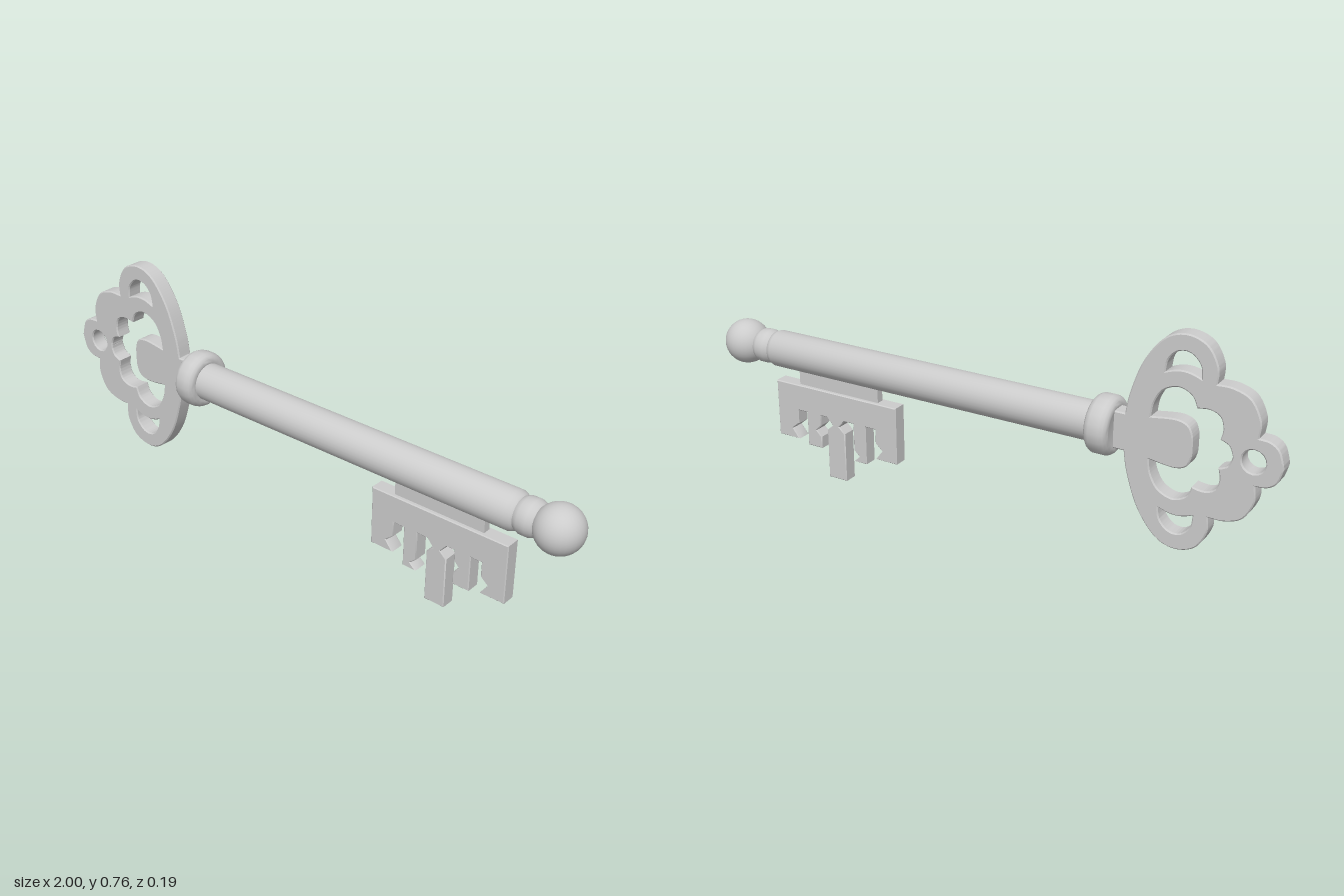
import * as THREE from 'three';
import { toCreasedNormals } from 'three/addons/utils/BufferGeometryUtils.js';

const AXIS = 0.4215; // height of the shaft's centre line

// Adds smooth runs that meet in cusps: below the axis first, then mirrored back above it,
// so that the outline runs counter-clockwise.
function mirroredOutline(target, runs) {
  const below = runs.map(run => run.map(([x, y]) => new THREE.Vector2(x, -y)));
  const above = runs.map(run => run.map(([x, y]) => new THREE.Vector2(x, y)).reverse()).reverse();
  target.moveTo(below[0][0].x, below[0][0].y);
  for (const run of [...below, ...above]) {
    if (run.length === 2) target.lineTo(run[1].x, run[1].y);
    else target.splineThru(run.slice(1));
  }
  return target;
}

// Extrudes a shape to a plate centred on z = 0 with slightly eased edges.
function plate(shape, halfDepth, bevel) {
  const geometry = new THREE.ExtrudeGeometry(shape, {
    depth: 2 * (halfDepth - bevel), curveSegments: 8,
    bevelSize: bevel, bevelThickness: bevel, bevelOffset: -bevel, bevelSegments: 1,
  });
  geometry.translate(0, 0, bevel - halfDepth);
  return toCreasedNormals(geometry, 0.6);
}

// Turns a profile of [x, radius] points about the shaft axis.
function turned(profile, segments = 32) {
  const geometry = new THREE.LatheGeometry(profile.map(([x, r]) => new THREE.Vector2(r, -x)).reverse(), segments);
  geometry.rotateZ(Math.PI / 2);
  return toCreasedNormals(geometry, 0.6);
}

function bowShape() {
  const shape = mirroredOutline(new THREE.Shape(), [
    [[-1, 0], [-0.985, 0.048], [-0.957, 0.07], [-0.922, 0.074]],
    [[-0.922, 0.074], [-0.924, 0.125], [-0.893, 0.183], [-0.84, 0.206], [-0.79, 0.207]],
    [[-0.79, 0.207], [-0.79, 0.258], [-0.755, 0.316], [-0.69, 0.337], [-0.625, 0.312], [-0.565, 0.232], [-0.528, 0.13], [-0.515, 0.06]],
    [[-0.515, 0.06], [-0.45, 0.06]],
    [[-0.45, 0.06], [-0.45, 0]],
  ]);
  // Scalloped opening around the central tongue
  shape.holes.push(mirroredOutline(new THREE.Path(), [
    [[-0.85, 0], [-0.838, 0.03], [-0.81, 0.044]],
    [[-0.81, 0.044], [-0.816, 0.078], [-0.805, 0.112], [-0.773, 0.126], [-0.735, 0.122]],
    [[-0.735, 0.122], [-0.718, 0.157], [-0.676, 0.174], [-0.63, 0.155], [-0.604, 0.112], [-0.596, 0.068]],
    [[-0.596, 0.068], [-0.671, 0.077], [-0.711, 0.066], [-0.727, 0.036], [-0.729, 0]],
  ]));
  // Ring hole
  shape.holes.push(new THREE.Path().absarc(-0.912, 0, 0.036, 0, Math.PI * 2));
  // Crescents
  for (const s of [1, -1]) {
    const crescent = new THREE.Path();
    crescent.moveTo(-0.743, s * 0.213);
    crescent.splineThru([[-0.738, 0.25], [-0.715, 0.277], [-0.69, 0.285], [-0.663, 0.277], [-0.64, 0.25], [-0.633, 0.213]]
      .map(([x, y]) => new THREE.Vector2(x, s * y)));
    crescent.quadraticCurveTo(-0.688, s * 0.242, -0.743, s * 0.213);
    shape.holes.push(crescent);
  }
  return shape;
}

function bitShape() {
  return new THREE.Shape([
    [0.297, 0.313], [0.297, 0.113],
    [0.381, 0.113], [0.355, 0.147], [0.381, 0.17], [0.381, 0.22], [0.42, 0.22], // left ward
    [0.42, 0.084], [0.47, 0.084], [0.449, 0.105], [0.47, 0.124], [0.47, 0.22], [0.506, 0.22], // second ward
    [0.528, 0.195], [0.506, 0.174], [0.506, 0], [0.578, 0], [0.578, 0.174], [0.556, 0.195], [0.578, 0.22], // middle ward
    [0.604, 0.22], [0.604, 0.184], [0.624, 0.163], [0.604, 0.142], [0.604, 0.1], [0.662, 0.1], [0.662, 0.22], // fourth ward
    [0.7, 0.22], [0.7, 0.17], [0.726, 0.148], [0.7, 0.113], [0.785, 0.113], // right ward
    [0.785, 0.313],
  ].map(([x, y]) => new THREE.Vector2(x, y)));
}

export function createModel() {
  const key = new THREE.Group();
  key.name = 'key';
  const material = new THREE.MeshStandardMaterial({ color: 0xcccccc });
  const add = (name, geometry, x = 0, y = AXIS) => {
    const mesh = new THREE.Mesh(geometry, material);
    mesh.name = name;
    mesh.position.set(x, y, 0);
    key.add(mesh);
  };

  add('bow', plate(bowShape(), 0.027, 0.004));

  // Turned parts along the shaft
  add('collar', turned([
    [-0.48, 0], [-0.482, 0.062], [-0.484, 0.07], [-0.481, 0.08], [-0.474, 0.088], [-0.462, 0.093],
    [-0.428, 0.093], [-0.416, 0.088], [-0.409, 0.08], [-0.406, 0.07], [-0.408, 0.062], [-0.41, 0],
  ], 20));
  add('shaft', turned([[-0.45, 0], [-0.45, 0.062], [0.782, 0.062], [0.797, 0.056], [0.806, 0.045], [0.806, 0]]));
  add('neck', turned([
    [0.795, 0], [0.795, 0.045], [0.803, 0.052], [0.818, 0.058], [0.845, 0.058], [0.86, 0.052], [0.87, 0.04], [0.87, 0],
  ]));
  add('tipBall', new THREE.SphereGeometry(0.076, 32, 20), 0.924);

  // Bit hanging below the shaft on a thinner web
  add('bitWeb', new THREE.BoxGeometry(0.32, 0.09, 0.026), 0.534, 0.348);
  add('bit', plate(bitShape(), 0.025, 0.003), 0, 0);
  return key;
}
